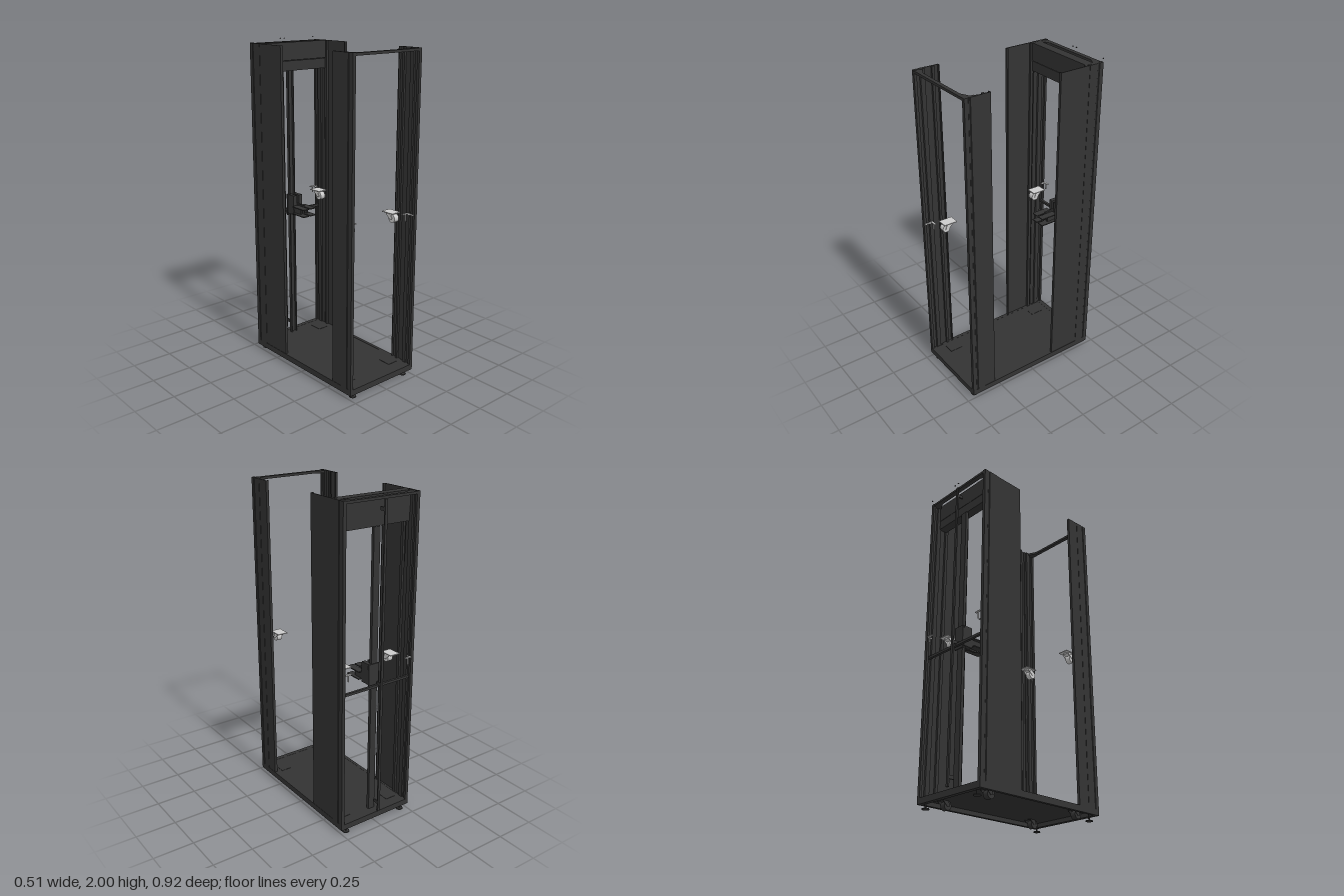
import * as THREE from 'three';

export function createModel() {
  const root = new THREE.Group();
  root.name = 'openCabinetFrame';
  const dark = new THREE.MeshStandardMaterial({ color: 0x333333, side: THREE.DoubleSide });
  const light = new THREE.MeshStandardMaterial({ color: 0xcccccc, side: THREE.DoubleSide });

  function add(name, geo, mat = dark, parent = root) {
    const m = new THREE.Mesh(geo, mat);
    m.name = name;
    parent.add(m);
    return m;
  }
  // box given by its limits on each axis
  function box(name, x0, x1, y0, y1, z0, z1, mat = dark, parent = root) {
    const m = add(name, new THREE.BoxGeometry(Math.abs(x1 - x0), y1 - y0, Math.abs(z1 - z0)), mat, parent);
    m.position.set((x0 + x1) / 2, (y0 + y1) / 2, (z0 + z1) / 2);
    return m;
  }
  // plan outline [x, z] raised from y0 to y1
  function prism(name, pts, y0, y1) {
    const s = new THREE.Shape(pts.map(([x, z]) => new THREE.Vector2(x, -z)));
    const g = new THREE.ExtrudeGeometry(s, { depth: y1 - y0, bevelEnabled: false });
    g.rotateX(-Math.PI / 2).translate(0, y0, 0);
    return add(name, g);
  }

  // base: floor plate inside a rim
  box('floorPlate', -0.24, 0.24, 0.055, 0.065, -0.43, 0.45);
  for (const s of [-1, 1]) box('baseSideRail', s * 0.235, s * 0.255, 0.03, 0.066, -0.445, 0.462);
  box('baseFrontRail', -0.235, 0.235, 0.03, 0.066, 0.435, 0.462);
  box('baseRearRail', -0.235, 0.235, 0.03, 0.066, -0.445, -0.418);

  // ribbed uprights, with a channel on the inside and thin side panels
  for (const s of [-1, 1]) {
    const X = (pts) => pts.map(([x, z]) => [s * x, z]);
    prism('frontPost', X([[0.255, 0.462], [0.235, 0.462], [0.235, 0.445], [0.243, 0.442], [0.243, 0.425],
      [0.235, 0.422], [0.235, 0.395], [0.243, 0.392], [0.243, 0.378], [0.255, 0.378], [0.255, 0.425],
      [0.252, 0.428], [0.252, 0.436], [0.255, 0.439]]), 0.03, 1.98);
    prism('frontSidePanel', X([[0.253, 0.378], [0.248, 0.378], [0.248, 0.308], [0.236, 0.308],
      [0.236, 0.302], [0.253, 0.302]]), 0.065, 1.98);
    box('frontMountingRail', s * 0.235, s * 0.248, 0.065, 1.98, 0.335, 0.35);
    prism('rearPost', X([[0.255, -0.445], [0.235, -0.445], [0.235, -0.43], [0.243, -0.427], [0.243, -0.412],
      [0.235, -0.409], [0.235, -0.38], [0.243, -0.377], [0.243, -0.35], [0.255, -0.35], [0.255, -0.405],
      [0.252, -0.408], [0.252, -0.416], [0.255, -0.419]]), 0.03, 1.98);
    prism('rearSidePanel', X([[0.253, -0.35], [0.248, -0.35], [0.248, -0.158], [0.236, -0.158],
      [0.236, -0.15], [0.253, -0.15]]), 0.065, 1.98);
    box('rearMountingRail', s * 0.235, s * 0.248, 0.065, 1.98, -0.34, -0.32);
  }

  // slim top cross bars with flared ends
  for (const [name, outer, inner, end] of [['frontTopBar', 0.46, 0.437, 0.415], ['rearTopBar', -0.444, -0.417, -0.393]]) {
    prism(name, [[-0.25, outer], [0.25, outer], [0.25, end], [0.225, end], [0.18, inner],
      [-0.18, inner], [-0.225, end], [-0.25, end]], 1.963, 1.978);
  }

  // rear header above the opening
  box('headerPanel', -0.24, 0.24, 1.87, 1.98, -0.39, -0.385);
  box('headerFront', -0.24, 0.24, 1.873, 1.98, -0.337, -0.332);
  box('headerTop', -0.24, 0.24, 1.975, 1.98, -0.385, -0.337);
  box('headerLowerBox', -0.24, 0.24, 1.81, 1.87, -0.388, -0.334);

  // centre upright, rear rod and middle cross bar
  prism('centreUpright', [[-0.028, -0.395], [0.015, -0.395], [0.015, -0.375], [0.009, -0.375],
    [0.009, -0.389], [-0.022, -0.389], [-0.022, -0.375], [-0.028, -0.375]], 0.065, 1.81);
  box('rearRod', -0.02, -0.004, 0.075, 1.965, -0.46, -0.45);
  for (const y of [0.12, 0.9, 1.9]) box('rodClip', -0.016, -0.008, y, y + 0.02, -0.452, -0.415);
  box('middleCrossBar', -0.24, 0.24, 0.89, 0.905, -0.43, -0.415);

  // paired latch and tray assembly in the middle
  const latch = new THREE.Group();
  latch.name = 'latchAssembly';
  root.add(latch);
  box('latchBackPlate', -0.035, 0.035, 0.885, 1.025, -0.4, -0.392, dark, latch);
  box('latchArm', -0.006, 0.006, 0.9, 0.97, -0.392, -0.27, dark, latch);
  for (const s of [-1, 1]) {
    box('latchBody', s * 0.008, s * 0.034, 0.9, 1.025, -0.39, -0.33, dark, latch);
    for (const y of [0.91, 0.955]) box('trayPlate', s * 0.005, s * 0.049, y, y + 0.006, -0.322, -0.21, dark, latch);
    box('trayWeb', s * 0.02, s * 0.03, 0.91, 0.96, -0.33, -0.265, dark, latch);
  }

  // swivel caster: mounting plate, fork and trailing wheel
  function caster(name, x, y, z, mat) {
    const g = new THREE.Group();
    g.name = name;
    g.position.set(x, y, z);
    root.add(g);
    box('mountingPlate', -0.033, 0.033, 0.056, 0.061, -0.043, 0.043, mat, g);
    add('swivelRing', new THREE.CylinderGeometry(0.025, 0.025, 0.008, 24), mat, g).position.y = 0.052;
    for (const s of [-1, 1]) {
      const leg = new THREE.Shape([[-0.02, 0.05], [0.022, 0.05], [0.032, 0.02], [0.015, 0.018]]
        .map(([a, b]) => new THREE.Vector2(a, b)));
      const geo = new THREE.ExtrudeGeometry(leg, { depth: 0.003, bevelEnabled: false });
      geo.rotateY(-Math.PI / 2).translate(s * 0.022 + 0.0015, 0, 0);
      add('forkLeg', geo, mat, g);
    }
    const wheel = add('wheel', new THREE.CylinderGeometry(0.025, 0.025, 0.034, 28), mat, g);
    wheel.rotation.z = Math.PI / 2;
    wheel.position.set(0, 0.025, 0.022);
  }
  // levelling foot: disc, stem and nut
  function foot(x, z) {
    const g = new THREE.Group();
    g.name = 'levellingFoot';
    g.position.set(x, 0, z);
    root.add(g);
    add('footDisc', new THREE.CylinderGeometry(0.02, 0.022, 0.006, 24), dark, g).position.y = 0.003;
    add('footStem', new THREE.CylinderGeometry(0.005, 0.005, 0.04, 12), dark, g).position.y = 0.024;
  }
  // small light bracket: plate with a hanging stem and side tab
  function bracket(s, z, tab) {
    const g = new THREE.Group();
    g.name = 'sideBracket';
    root.add(g);
    box('bracketPlate', s * 0.193, s * 0.232, 1.024, 1.029, z - 0.006, z + 0.006, light, g);
    box('bracketTab', s * 0.23, s * 0.234, 1.02, 1.029, z, tab, light, g);
    box('bracketStem', s * 0.21, s * 0.216, 0.985, 1.024, z - 0.003, z + 0.003, light, g);
  }
  for (const s of [-1, 1]) {
    for (const z of [0.333, -0.333]) {
      caster('baseCaster', s * 0.173, 0.006, z, dark);
      caster('lightCaster', s * 0.173, 0.972, z, light);
    }
    foot(s * 0.208, 0.428);
    foot(s * 0.208, -0.422);
    bracket(s, 0.41, 0.455);
    bracket(s, -0.443, -0.415);
  }

  // tiny pins over the rear edge
  for (const x of [-0.02, 0.011, 0.237]) {
    add('topPin', new THREE.ConeGeometry(0.005, 0.008, 10)).position.set(x, 1.996, -0.457);
  }
  return root;
}
